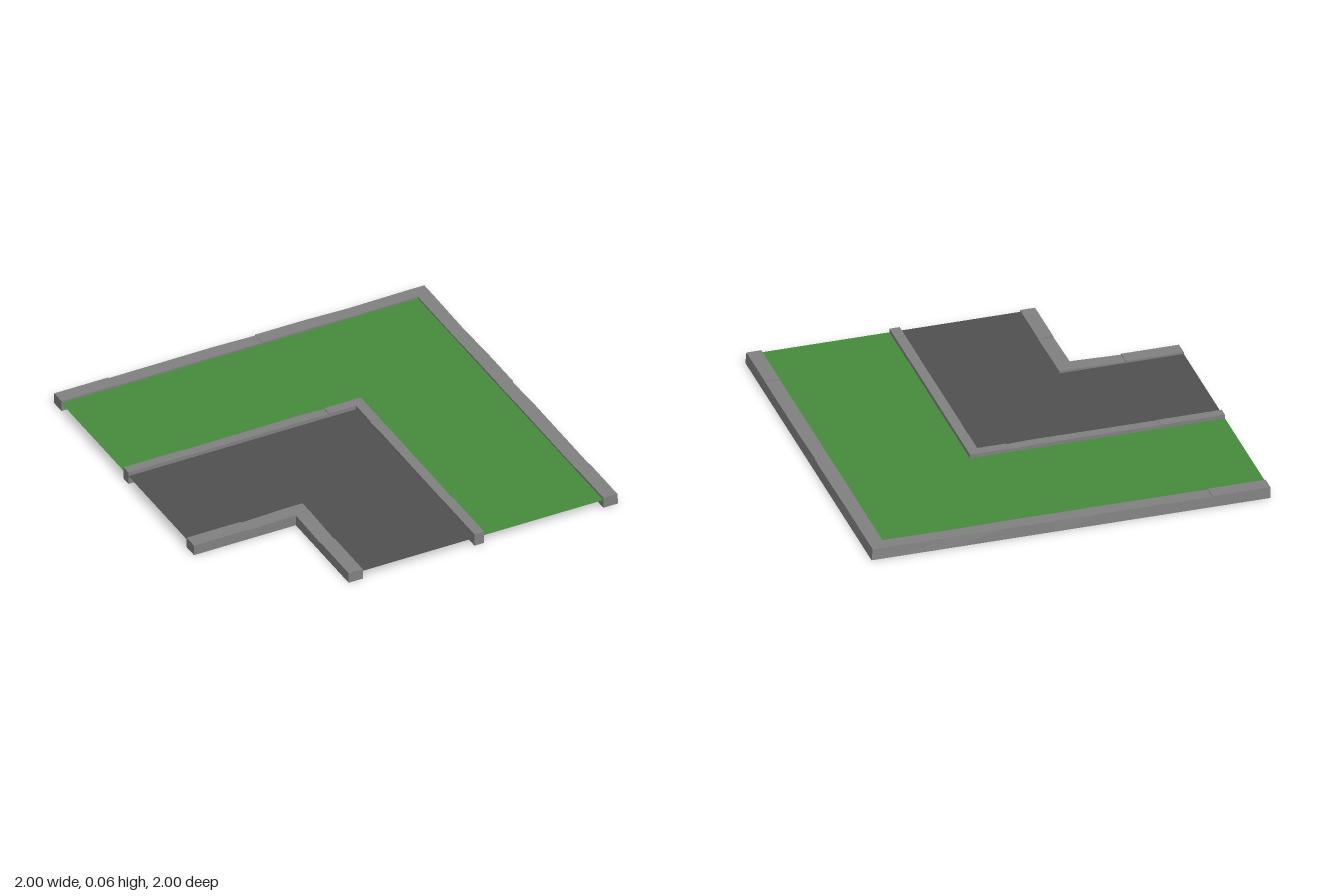
import * as THREE from 'three';

const STONE = new THREE.MeshStandardMaterial({ color: 0x808080, flatShading: true });
const GRASS = new THREE.MeshStandardMaterial({ color: 0x458a3c, side: THREE.DoubleSide });
const ROAD = new THREE.MeshStandardMaterial({ color: 0x505050, side: THREE.DoubleSide });

// L-shaped kerb between offsets d0 (inner) and d1 (outer), swept along both legs.
// Each station is [distance along leg, top height, top inset on the outer side];
// the second leg mirrors the first across the corner diagonal.
function kerb(name, d0, d1, stations) {
  const section = ([, h, inset]) => [[d0, 0], [d0, h], [d1 - inset, h], [d1, 0]];
  const rings = stations.map((s) =>
    section(s).map(([off, y]) => [s[0], y, -off]));
  const last = stations[stations.length - 1];
  rings.push(section(last).map(([off, y]) => [off, y, -off])); // mitred corner
  for (const s of [...stations].reverse())
    rings.push(section(s).map(([off, y]) => [off, y, -s[0]]));

  const pos = [];
  const quad = (a, b, c, d) => pos.push(...a, ...b, ...c, ...a, ...c, ...d);
  for (let i = 0; i < rings.length - 1; i++)
    for (let j = 0; j < 4; j++) {
      const k = (j + 1) % 4;
      quad(rings[i][j], rings[i + 1][j], rings[i + 1][k], rings[i][k]);
    }
  const end = rings[rings.length - 1];
  quad(...rings[0]);
  quad(end[3], end[2], end[1], end[0]);

  const geo = new THREE.BufferGeometry();
  geo.setAttribute('position', new THREE.Float32BufferAttribute(pos, 3));
  geo.computeVertexNormals();
  const mesh = new THREE.Mesh(geo, STONE);
  mesh.name = name;
  return mesh;
}

// Flat L-shaped surface between two offsets
function sheet(name, d0, d1, y, material) {
  const shape = new THREE.Shape([
    [-1, d0], [-1, d1], [d1, d1], [d1, -1], [d0, -1], [d0, d0],
  ].map(([x, v]) => new THREE.Vector2(x, v)));
  const mesh = new THREE.Mesh(new THREE.ShapeGeometry(shape).rotateX(-Math.PI / 2), material);
  mesh.position.y = y;
  mesh.name = name;
  return mesh;
}

export function createModel() {
  const model = new THREE.Group();
  model.name = 'cornerPavement';

  // Surfaces
  model.add(sheet('grass', 0.25, 0.95, 0.045, GRASS));
  model.add(sheet('road', -0.41, 0.25, 0.045, ROAD));

  // Kerbs, with slightly uneven stones
  model.add(kerb('outerKerb', 0.92, 1, [
    [-1, 0.057, 0.005], [-0.71, 0.057, 0.005],
    [-0.71, 0.053, 0.006], [-0.15, 0.055, 0.006], [0.08, 0.053, 0.01],
    [0.08, 0.055, 0.006], [0.34, 0.055, 0.006], [0.58, 0.052, 0.01],
    [0.9, 0.054, 0.008],
  ]));
  model.add(kerb('middleKerb', 0.226, 0.278, [
    [-1, 0.065, 0], [-0.68, 0.065, 0], [-0.68, 0.063, 0.002],
    [-0.04, 0.065, 0], [0.08, 0.061, 0.002], [0.08, 0.065, 0], [0.2, 0.065, 0],
  ]));
  model.add(kerb('innerKerb', -0.452, -0.376, [
    [-1, 0.055, 0], [-0.71, 0.055, 0], [-0.71, 0.05, 0.001],
    [-0.48, 0.057, 0],
  ]));
  return model;
}
